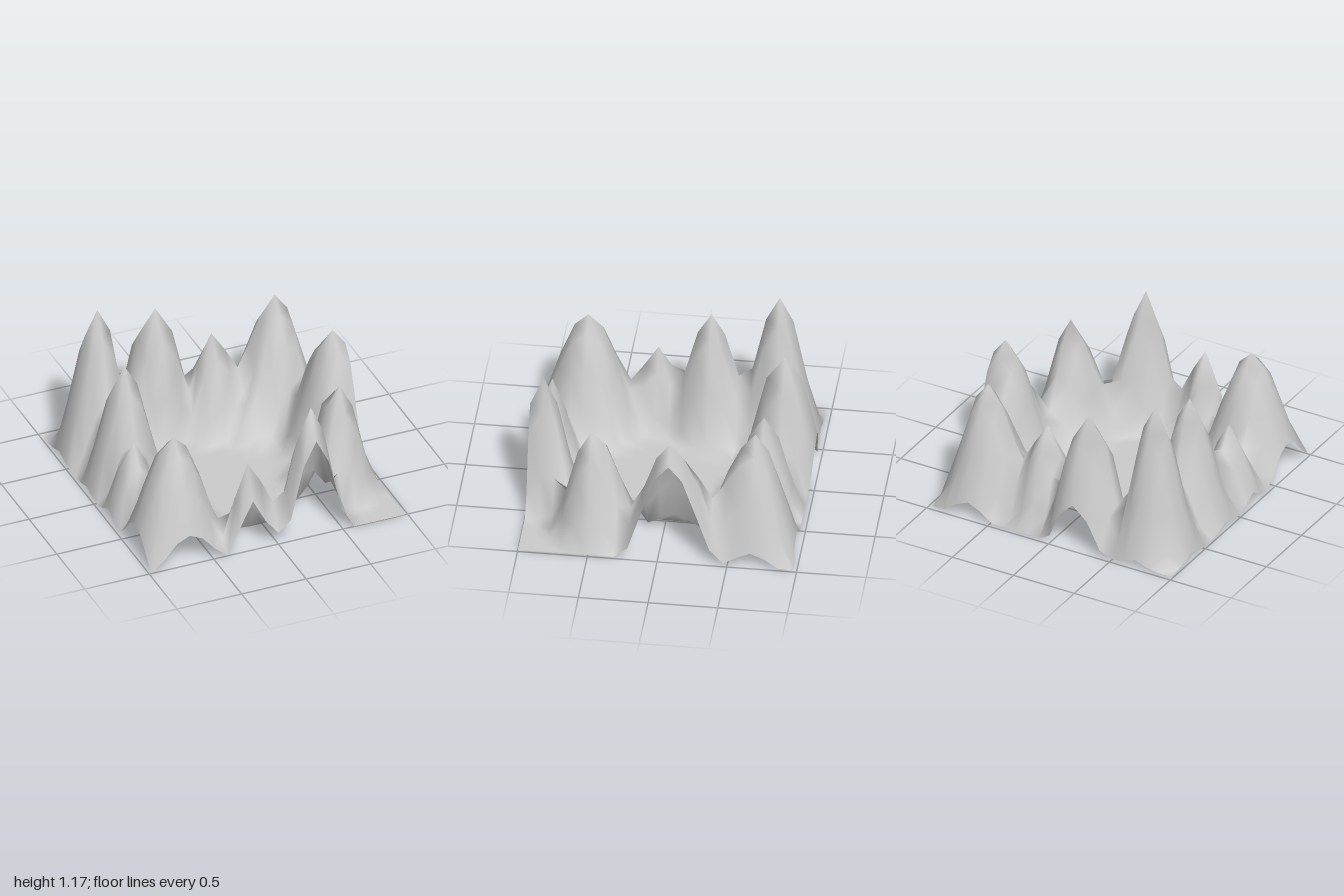
import * as THREE from 'three';

// Peaks: x, z, height, radius, sideways swell
const PEAKS = [
  // tall outer ring
  [-0.686, -0.666, 1.17, 0.33, 0],
  [-0.196, -0.764, 1.0, 0.315, 0.04],
  [0.196, -0.666, 0.75, 0.285, 0.01],
  [0.686, -0.666, 0.95, 0.365, 0],
  [0.882, -0.078, 0.95, 0.37, 0],
  [0.686, 0.51, 0.87, 0.29, 0],
  [0.294, 0.902, 1.02, 0.285, 0],
  [-0.196, 0.902, 0.67, 0.21, 0],
  [-0.686, 0.706, 0.9, 0.425, 0],
  [-0.784, 0.216, 0.59, 0.25, 0],
  [-0.686, -0.176, 0.98, 0.33, 0],
  // low ridges and saddles
  [0.0, 0.902, 0.29, 0.15, 0],
  [0.76, 0.23, 0.22, 0.2, 0],
  [0.57, 0.31, 0.26, 0.24, 0],
  [0.46, 0.68, 0.22, 0.25, 0],
  [0.42, -0.42, 0.27, 0.2, 0],
  [0.45, -0.7, 0.14, 0.14, 0],
  [0.78, -0.37, 0.28, 0.25, 0],
  // notches between the back peaks
  [0.0, -0.7, -0.18, 0.16, 0],
  [-0.43, -0.7, -0.1, 0.15, 0],
];

export function createModel() {
  const group = new THREE.Group();
  group.name = 'mountainRing';

  // Flat grid sheet raised into peaks
  const geometry = new THREE.PlaneGeometry(1.96, 1.96, 20, 20);
  geometry.rotateX(-Math.PI / 2).translate(0, 0, 0.02);
  const pos = geometry.attributes.position;
  for (let i = 0; i < pos.count; i++) {
    const x = pos.getX(i), z = pos.getZ(i);
    let y = 0, dx = 0, dz = 0;
    for (const [px, pz, height, radius, swell] of PEAKS) {
      const d = Math.hypot(x - px, z - pz);
      if (d >= radius) continue;
      // rounded bell falloff, smooth at the rim
      y += height * (1 - (d / radius) ** 2) ** 2;
      // steep flanks pushed outwards
      if (d > 0.01) {
        const push = swell * Math.sin(Math.PI * d / radius) / d;
        dx += (x - px) * push;
        dz += (z - pz) * push;
      }
    }
    pos.setXYZ(i, x + dx, Math.max(y, 0), z + dz);
  }
  geometry.computeVertexNormals();

  const terrain = new THREE.Mesh(
    geometry,
    new THREE.MeshStandardMaterial({ color: 0xcccccc, side: THREE.DoubleSide })
  );
  terrain.name = 'terrain';
  group.add(terrain);
  return group;
}
